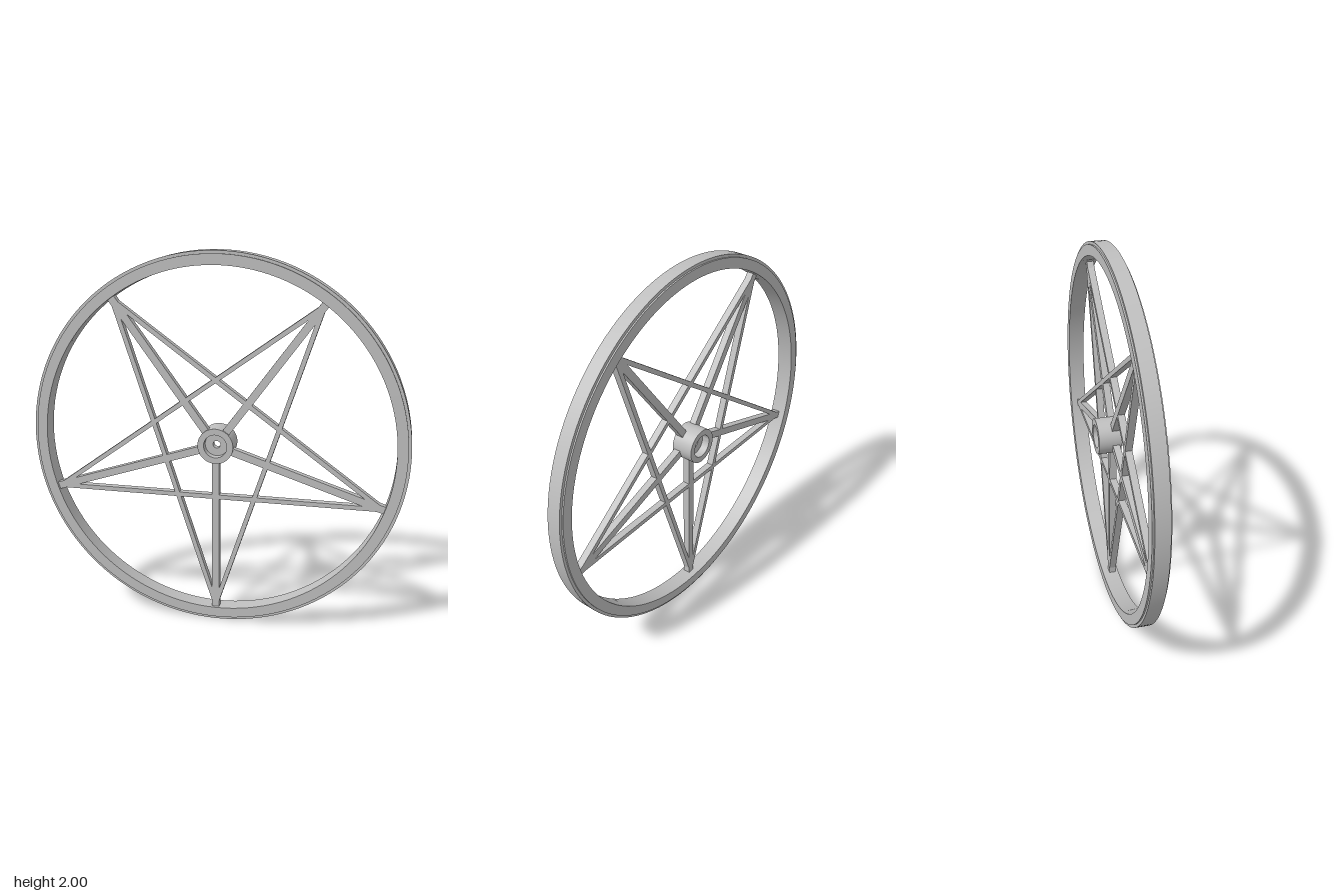
import * as THREE from 'three';
import { toCreasedNormals } from 'three/addons/utils/BufferGeometryUtils.js';

export function createModel() {
  const wheel = new THREE.Group();
  wheel.name = 'wheel';
  wheel.position.y = 1;
  const metal = new THREE.MeshStandardMaterial({ color: 0xbfbfbf });
  metal.name = 'grey metal';

  const add = (name, geometry, parent = wheel) => {
    const mesh = new THREE.Mesh(geometry, metal);
    mesh.name = name;
    parent.add(mesh);
    return mesh;
  };

  // Closed [radius, z] profile, counterclockwise, turned about the wheel axis
  const turned = (name, profile, segments) => {
    const points = [...profile, profile[0]].map(([r, z]) => new THREE.Vector2(r, z));
    const geometry = new THREE.LatheGeometry(points, segments);
    geometry.rotateX(Math.PI / 2);
    return add(name, toCreasedNormals(geometry, 0.5));
  };

  // Rim with a small step on both outer edges
  turned('rim', [
    [0.93, -0.027], [0.985, -0.027], [0.985, -0.019], [1, -0.019],
    [1, 0.054], [0.985, 0.054], [0.985, 0.062], [0.93, 0.062],
  ], 128);

  // Hub recessed at both ends, with a bored web in the middle
  turned('hub', [
    [0.02, -0.02], [0.062, -0.02], [0.062, -0.062], [0.095, -0.062],
    [0.095, 0.057], [0.062, 0.057], [0.062, 0.018], [0.02, 0.018],
  ], 48);

  // Five radial spokes and the five bars of the star
  const depth = 0.037, midZ = 0.0285;
  for (let i = 0; i < 5; i++) {
    const sector = new THREE.Group();
    sector.name = `starSector${i + 1}`;
    sector.rotation.z = (i * 2 * Math.PI) / 5;
    wheel.add(sector);

    const inner = 0.08, outer = 0.94;
    add('spoke', new THREE.BoxGeometry(0.04, outer - inner, depth), sector)
      .position.set(0, -(inner + outer) / 2, midZ);
    add('starBar', new THREE.BoxGeometry(1.79, 0.024, depth), sector)
      .position.set(0, -0.2835, midZ);
  }
  return wheel;
}
